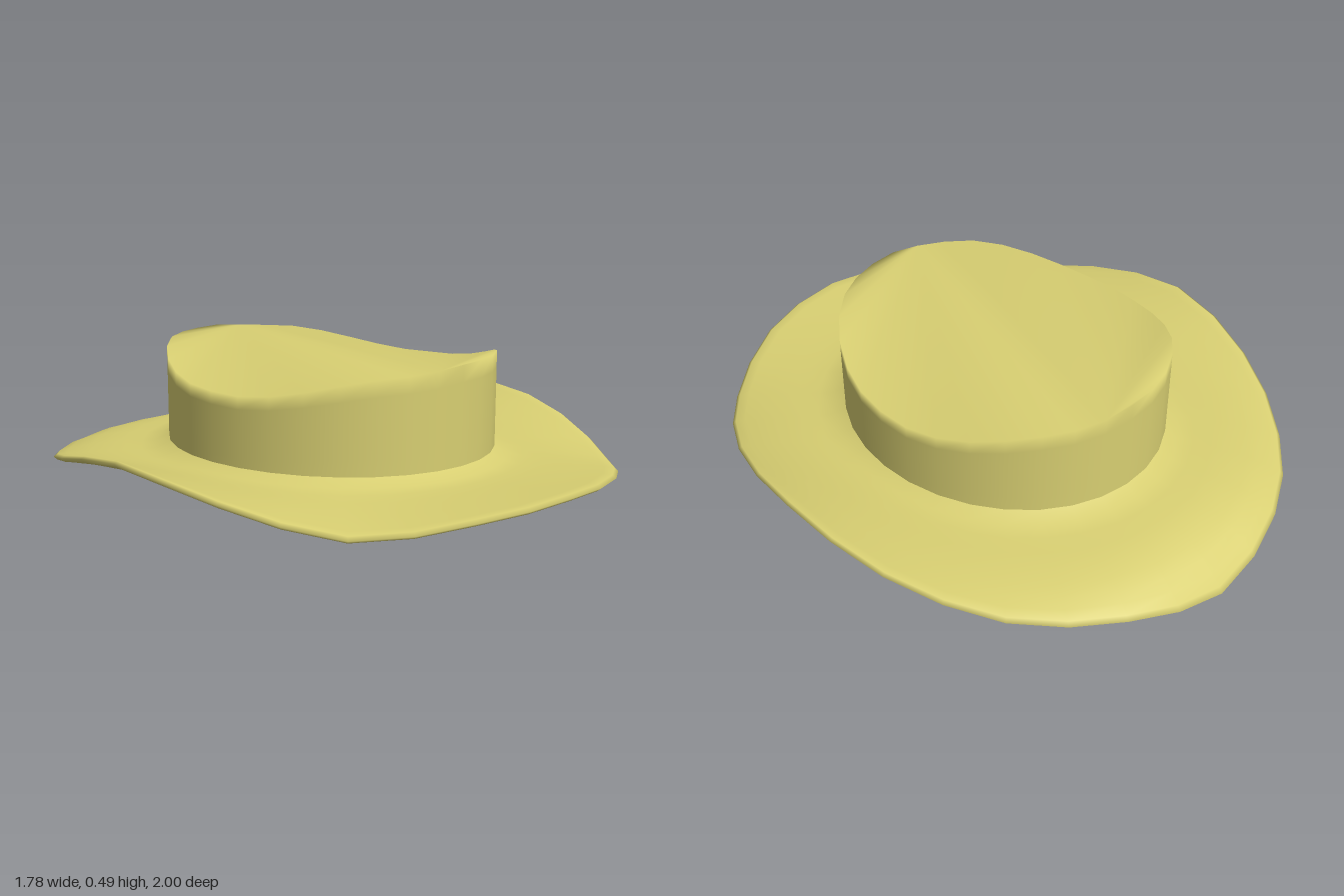
import * as THREE from 'three';

const SEG = 32;
const material = new THREE.MeshStandardMaterial({ color: 0xd8cf72, side: THREE.DoubleSide });

// Height of the brim's outer edge, every 22.5 degrees from the front round to the back
const edge = new THREE.SplineCurve(
  [0.165, 0.145, 0.11, 0.185, 0.245, 0.18, 0.105, 0.075, 0.012].map((y, i) => new THREE.Vector2(i, y)));
const edgeHeight = a => edge.getPoint((a > Math.PI ? 2 * Math.PI - a : a) / Math.PI).y;

// Skin closed rings, listed so that the outside is on the right-hand side; cap holds extra triangles
function loft(name, rings, point, cap = []) {
  const pos = [], index = [...cap];
  rings.forEach((ring, j) => {
    for (let i = 0; i < SEG; i++) {
      pos.push(...point(ring, (i / SEG) * Math.PI * 2));
      if (j === 0) continue;
      const n = (i + 1) % SEG, lo = (j - 1) * SEG, hi = j * SEG;
      index.push(lo + i, lo + n, hi + n, lo + i, hi + n, hi + i);
    }
  });
  const geo = new THREE.BufferGeometry();
  geo.setAttribute('position', new THREE.Float32BufferAttribute(pos, 3));
  geo.setIndex(index);
  geo.computeVertexNormals();
  const mesh = new THREE.Mesh(geo, material);
  mesh.name = name;
  return mesh;
}

// Brim surface: t = 0 at the crown, 1 at the outer edge; d shifts it for thickness
function brimPoint([t, d], a) {
  const power = 1.6 + 2.2 * Math.max(0, -Math.cos(a)) ** 2;
  const fillet = d > 0 ? 0.03 * Math.exp(-t * 12) : 0;
  const y = 0.145 + (edgeHeight(a) - 0.145) * Math.min(t, 1) ** power + fillet + d;
  return [Math.sin(a) * (0.515 + 0.37 * t), y, Math.cos(a) * (0.58 + 0.415 * t)];
}

// Crown rim: level along the middle, dipping at both sides, with a slight twist
function rimHeight(a) {
  const side = Math.max(0, (Math.abs(Math.sin(a)) * 0.515 - 0.25) / 0.265);
  return 0.503 - 0.092 * side * side - 0.025 * Math.max(0, -Math.sin(2 * a));
}

function crownPoint(t, a) {
  return [Math.sin(a) * 0.517, THREE.MathUtils.lerp(0.135, rimHeight(a), t), Math.cos(a) * 0.583];
}

export function createModel() {
  const hat = new THREE.Group();
  hat.name = 'hat';

  // Brim: underside outward, round the edge, top side back inward
  const steps = [0, 0.12, 0.25, 0.4, 0.55, 0.7, 0.8, 0.9, 0.98];
  const profile = [
    ...steps.map(t => [t, -0.01]),
    [1.01, 0],
    ...steps.slice().reverse().map(t => [t, 0.01]),
  ];
  hat.add(loft('brim', profile, brimPoint));

  // Crown: wall rings, closed by two fans meeting on a ridge from back to front
  const walls = [0, 0.3, 0.6, 0.85, 1];
  const top = (walls.length - 1) * SEG, cap = [];
  for (const apex of [15, 31]) {
    for (let k = 1; k < 16; k++) {
      cap.push(top + apex, top + (apex + k) % SEG, top + (apex + k + 1) % SEG);
    }
  }
  hat.add(loft('crown', walls, crownPoint, cap));

  return hat;
}
